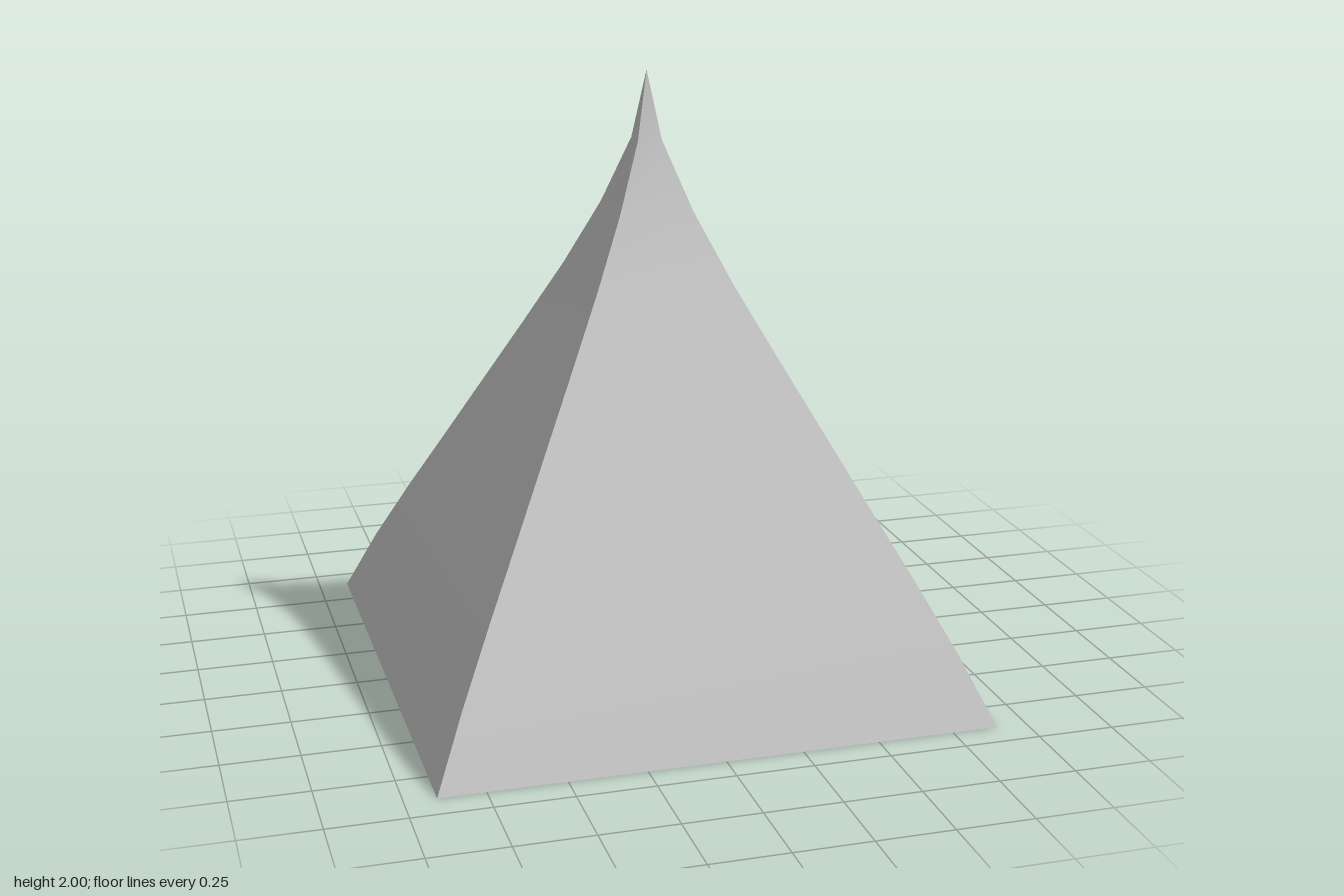
import * as THREE from 'three';

// half-widths at evenly spaced heights, from base to just below the tip
const HALF_WIDTHS = [0.9, 0.8, 0.688, 0.571, 0.455, 0.339, 0.225, 0.122, 0.04];
const HEIGHT = 2;

// one curved, tapering side facing +z, smooth from base to tip
function sideGeometry() {
  const positions = [];
  const indices = [];
  const rows = HALF_WIDTHS.length;
  HALF_WIDTHS.forEach((w, i) => {
    const y = (HEIGHT * i) / rows;
    positions.push(-w, y, w, w, y, w);
    const a = 2 * i;
    if (i < rows - 1) indices.push(a, a + 1, a + 3, a, a + 3, a + 2);
    else indices.push(a, a + 1, a + 2);
  });
  positions.push(0, HEIGHT, 0); // tip
  const geometry = new THREE.BufferGeometry();
  geometry.setAttribute('position', new THREE.Float32BufferAttribute(positions, 3));
  geometry.setIndex(indices);
  geometry.computeVertexNormals();
  return geometry;
}

export function createModel() {
  const model = new THREE.Group();
  model.name = 'spire';
  const material = new THREE.MeshStandardMaterial({ color: 0xcccccc });

  // four identical sides with sharp corners between them
  const geometry = sideGeometry();
  ['frontSide', 'leftSide', 'backSide', 'rightSide'].forEach((name, i) => {
    const side = new THREE.Mesh(geometry, material);
    side.name = name;
    side.rotation.y = (i * Math.PI) / 2;
    model.add(side);
  });

  // flat square underside
  const width = 2 * HALF_WIDTHS[0];
  const base = new THREE.Mesh(new THREE.PlaneGeometry(width, width), material);
  base.name = 'base';
  base.rotation.x = Math.PI / 2;
  model.add(base);

  return model;
}
